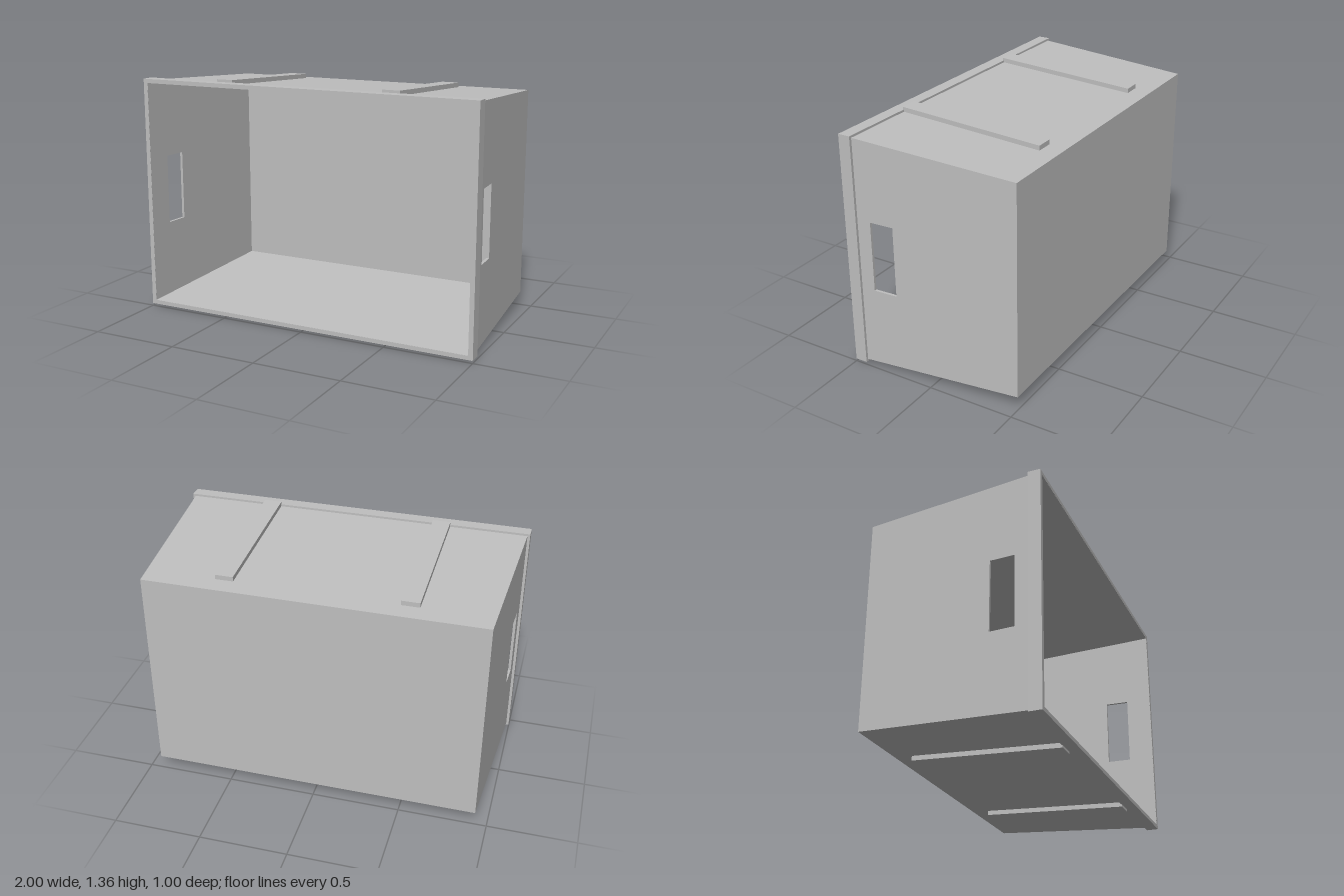
import * as THREE from 'three';

const CY = 0.682;      // height of the crate's centre line
const WALL = 0.015;    // wall thickness
const BACK = -0.5, FRONT = 0.499;
const halfW = (z) => 0.961 + 0.056 * z;   // outer half width, tapering to the back
const halfH = (z) => 0.628 + 0.0575 * z;  // outer half height

export function createModel() {
  const group = new THREE.Group();
  const grey = new THREE.MeshStandardMaterial({ color: 0xbfbfbf });
  grey.name = 'grey';

  const add = (name, geometry) => {
    geometry.computeVertexNormals();
    const mesh = new THREE.Mesh(geometry, grey);
    mesh.name = name;
    group.add(mesh);
  };

  // box between z0 and z1 whose x and y follow rules of (sign, z)
  const taperedBox = (z0, z1, xRule, yRule) => {
    const geo = new THREE.BoxGeometry(2, 2, 2).toNonIndexed();
    const p = geo.attributes.position;
    for (let i = 0; i < p.count; i++) {
      const z = p.getZ(i) > 0 ? z1 : z0;
      p.setXYZ(i, xRule(p.getX(i), z), yRule(p.getY(i), z), z);
    }
    return geo;
  };

  const rect = (path, x0, y0, x1, y1) =>
    path.moveTo(x0, y0).lineTo(x1, y0).lineTo(x1, y1).lineTo(x0, y1).closePath();

  // back panel
  add('backPanel', taperedBox(BACK, BACK + 0.02,
    (s, z) => s * (halfW(z) - 0.001), (s, z) => CY + s * (halfH(z) - 0.001)));

  for (const side of [1, -1]) {
    const sideName = side > 0 ? 'left' : 'right';
    const levelName = side > 0 ? 'top' : 'bottom';

    // side wall with a handle opening, drawn in z-y and leaned to the taper
    const shape = new THREE.Shape();
    shape.moveTo(BACK, CY - halfH(BACK));
    shape.lineTo(FRONT, CY - halfH(FRONT));
    shape.lineTo(FRONT, CY + halfH(FRONT));
    shape.lineTo(BACK, CY + halfH(BACK));
    shape.closePath();
    const hole = new THREE.Path();
    rect(hole, 0.215, 0.482, 0.352, 0.882);
    shape.holes.push(hole);
    const wall = new THREE.ExtrudeGeometry(shape, { depth: WALL, bevelEnabled: false });
    wall.rotateY(-Math.PI / 2);
    if (side < 0) wall.translate(WALL, 0, 0);
    const p = wall.attributes.position;
    for (let i = 0; i < p.count; i++) p.setX(i, p.getX(i) + side * halfW(p.getZ(i)));
    add(sideName + 'Wall', wall);

    // top and bottom walls
    add(levelName + 'Wall', taperedBox(BACK, FRONT,
      (s, z) => s * (halfW(z) - 0.002),
      (s, z) => CY + side * halfH(z) + (s - side) * WALL / 2));

    // raised runners on the top and bottom
    for (const x of [0.5, -0.5]) {
      add(levelName + 'Runner', taperedBox(-0.4, 0.435,
        (s) => x + s * 0.05,
        (s, z) => CY + side * (halfH(z) + (s === side ? 0.026 : -0.005))));
    }
  }

  // collar around the open front
  const collar = new THREE.Shape();
  rect(collar, -1, CY - 0.665, 1, CY + 0.665);
  const opening = new THREE.Path();
  rect(opening, -0.975, CY - 0.643, 0.975, CY + 0.643);
  collar.holes.push(opening);
  const rim = new THREE.ExtrudeGeometry(collar, { depth: 0.07, bevelEnabled: false });
  rim.translate(0, 0, 0.43);
  add('rim', rim);

  return group;
}
